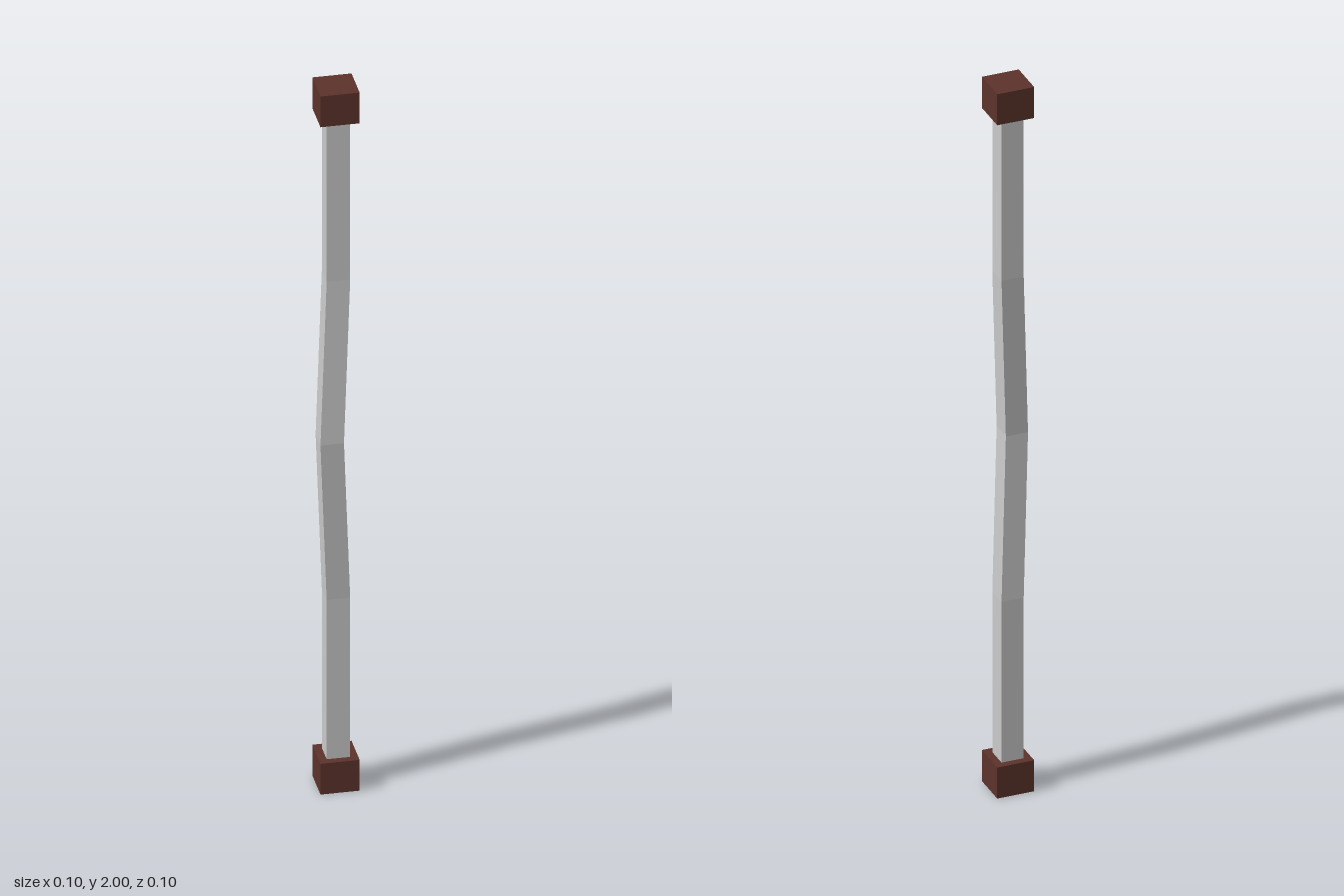
import * as THREE from 'three';

const POST = 0.06, CAP = 0.1, CAP_H = 0.088, BEND = 0.02;

// Square post in four segments, its middle ring pushed sideways
function bentPost() {
  const height = 2 - 2 * CAP_H;
  const geo = new THREE.BoxGeometry(POST, height, POST, 1, 4, 1);
  const pos = geo.attributes.position;
  for (let i = 0; i < pos.count; i++) {
    if (Math.abs(pos.getY(i)) < 0.01) {
      pos.setX(i, pos.getX(i) - BEND);
      pos.setZ(i, pos.getZ(i) + BEND);
    }
  }
  geo.computeVertexNormals();
  return geo;
}

export function createModel() {
  const group = new THREE.Group();
  const grey = new THREE.MeshStandardMaterial({ color: 0xcccccc, flatShading: true });
  const brown = new THREE.MeshStandardMaterial({ color: 0x5c332b, flatShading: true });

  const post = new THREE.Mesh(bentPost(), grey);
  post.name = 'bentPost';
  post.position.y = 1;
  group.add(post);

  // Matching end blocks
  for (const [name, y] of [['bottomCap', CAP_H / 2], ['topCap', 2 - CAP_H / 2]]) {
    const cap = new THREE.Mesh(new THREE.BoxGeometry(CAP, CAP_H, CAP), brown);
    cap.name = name;
    cap.position.y = y;
    group.add(cap);
  }
  return group;
}
